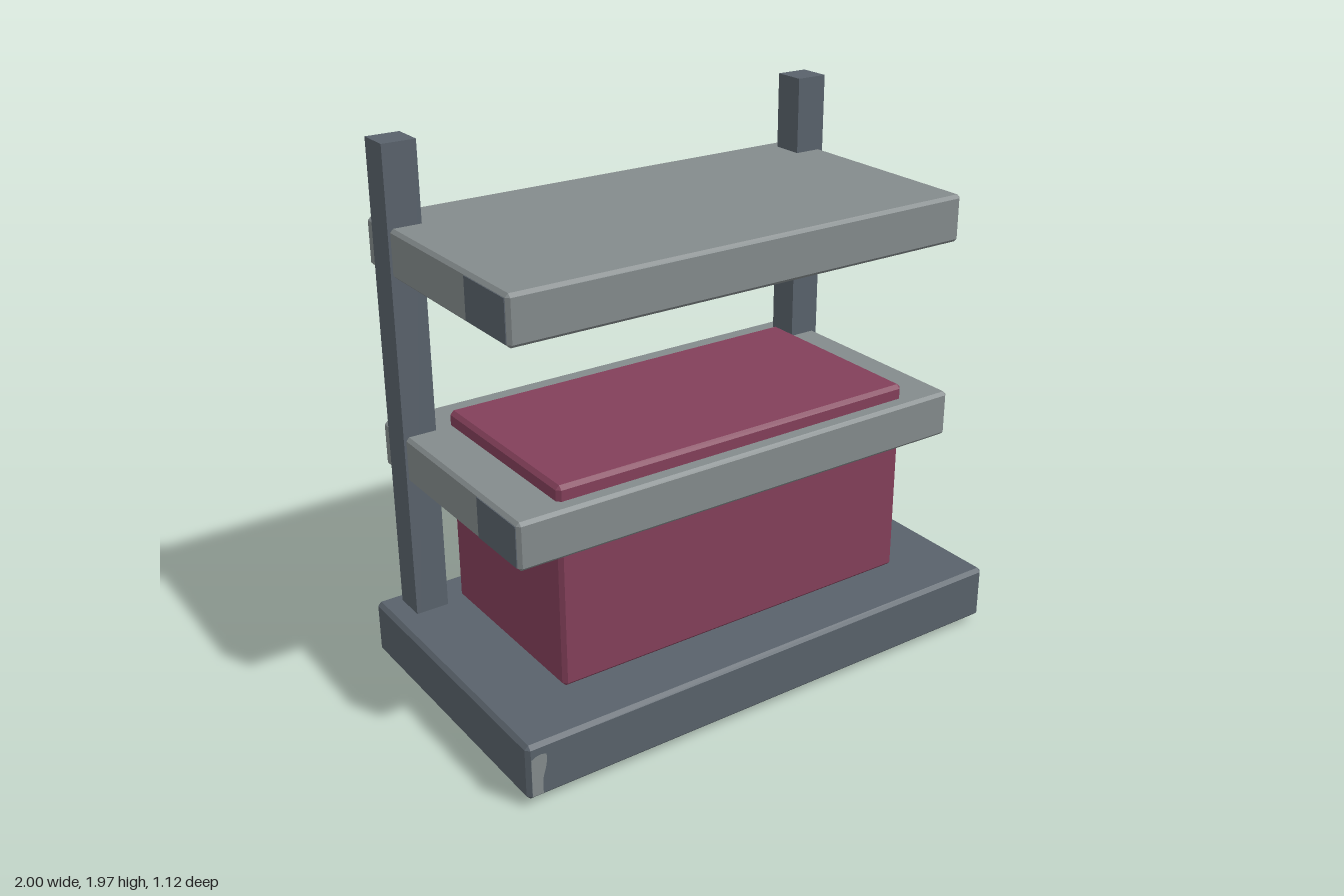
import * as THREE from 'three';
import { ConvexGeometry } from 'three/addons/geometries/ConvexGeometry.js';

export function createModel() {
  const material = (name, color) => {
    const m = new THREE.MeshStandardMaterial({ color });
    m.name = name;
    return m;
  };
  const slate = material('slate', 0x59626b);
  const grey = material('grey', 0x848b8c);
  const maroon = material('maroon', 0x83405a);

  const group = new THREE.Group();
  group.name = 'shelfUnit';

  const add = (name, geometry, mat) => {
    const mesh = new THREE.Mesh(geometry, mat);
    mesh.name = name;
    group.add(mesh);
    return mesh;
  };

  // Box between two corners, with chamfered edges of width c
  const chamferBox = (name, mat, min, max, c) => {
    const half = min.map((v, i) => (max[i] - v) / 2);
    const points = [];
    for (const sx of [-1, 1]) for (const sy of [-1, 1]) for (const sz of [-1, 1]) {
      for (let axis = 0; axis < 3; axis++) {
        // each corner becomes three points, one lying on each face
        const p = half.map((h, i) => (i === axis ? h : h - c));
        points.push(new THREE.Vector3(sx * p[0], sy * p[1], sz * p[2]));
      }
    }
    const mesh = add(name, new ConvexGeometry(points), mat);
    mesh.position.set(...min.map((v, i) => v + half[i]));
    return mesh;
  };

  // Base slab, held just off the ground by the post ends
  chamferBox('base', slate, [-1, 0.025, -0.545], [1, 0.23, 0.56], 0.014);

  // Two square uprights
  for (const side of [-1, 1]) {
    const post = add(side > 0 ? 'leftPost' : 'rightPost', new THREE.BoxGeometry(0.124, 1.965, 0.122), slate);
    post.position.set(side * 0.855, 0.9825, -0.437);
  }

  // Shelves, each with a dark patch at the front of one end
  [['lowerShelf', 0.758], ['upperShelf', 1.508]].forEach(([name, y]) => {
    chamferBox(name, grey, [-0.908, y, -0.56], [0.908, y + 0.172, 0.4], 0.012);
    const patch = add(name + 'EndPatch', new THREE.BoxGeometry(0.004, 0.146, 0.25), slate);
    patch.position.set(-0.909, y + 0.086, 0.262);
  });

  // Crate standing on the base and passing through the lower shelf
  chamferBox('crate', maroon, [-0.73, 0.235, -0.4], [0.73, 0.983, 0.345], 0.014);

  // Worn grey patch on the front corner of the base
  const worn = new THREE.Shape();
  worn.moveTo(-0.986, 0.04);
  worn.lineTo(-0.945, 0.04);
  worn.quadraticCurveTo(-0.95, 0.09, -0.938, 0.12);
  worn.quadraticCurveTo(-0.925, 0.16, -0.93, 0.185);
  worn.quadraticCurveTo(-0.955, 0.2, -0.986, 0.18);
  const wornPatch = add('basePatch', new THREE.ShapeGeometry(worn, 6), grey);
  wornPatch.position.z = 0.562;

  return group;
}
